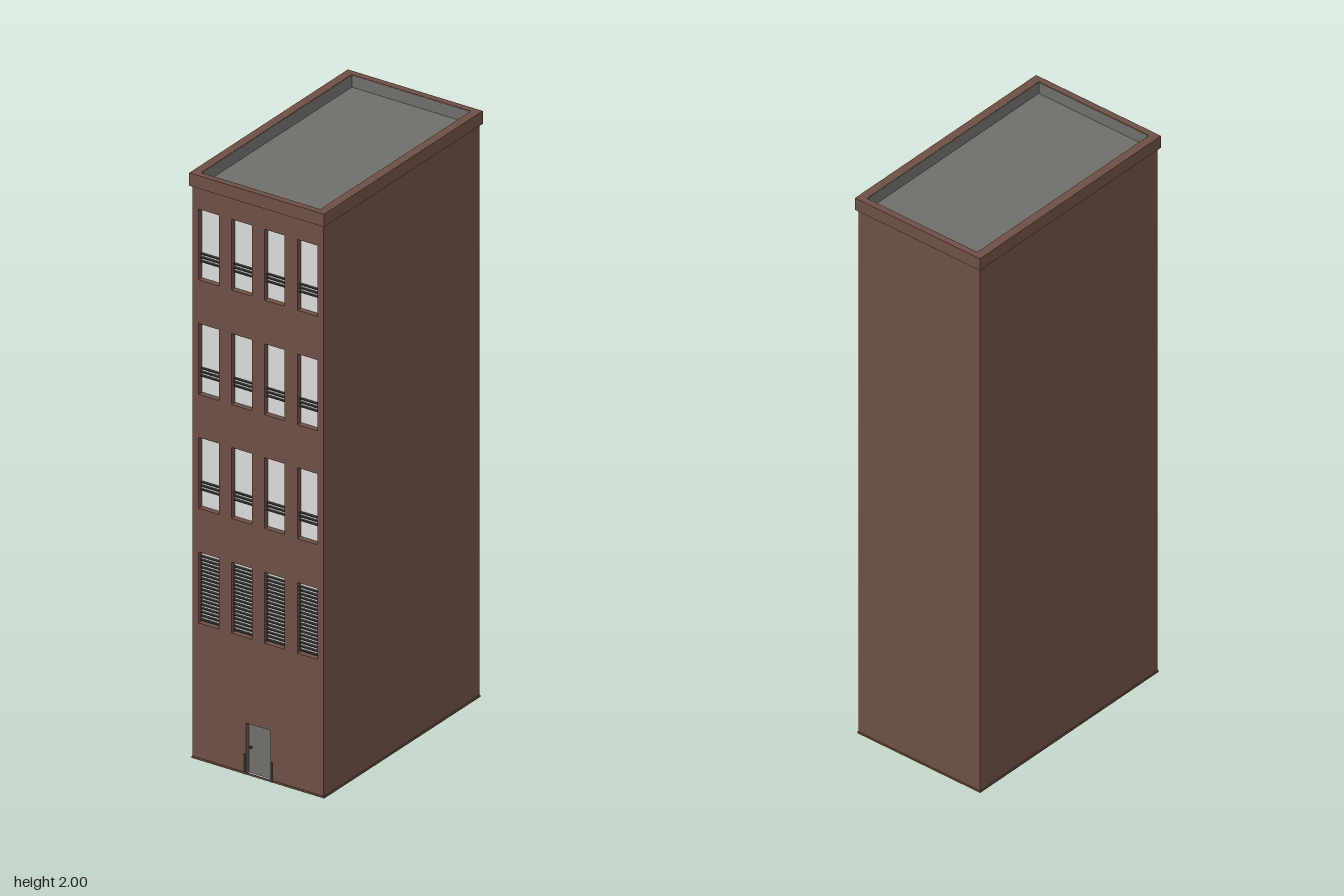
import * as THREE from 'three';

const W = 0.243, D = 0.42, H = 1.956;   // half width, half depth, wall height
const REVEAL = 0.02;

const make = (name, color, side = THREE.FrontSide) => {
  const m = new THREE.MeshStandardMaterial({ color, side });
  m.name = name;
  return m;
};

// Rectangular path, used for outlines and holes
function rect(PathType, x0, y0, x1, y1) {
  const p = new PathType();
  p.moveTo(x0, y0);
  p.lineTo(x1, y0);
  p.lineTo(x1, y1);
  p.lineTo(x0, y1);
  p.closePath();
  return p;
}

// Horizontal rectangular ring: outer half sizes, inner half sizes, height
function ring(ox, oz, ix, iz, h) {
  const s = rect(THREE.Shape, -ox, -oz, ox, oz);
  s.holes.push(rect(THREE.Path, -ix, -iz, ix, iz));
  const g = new THREE.ExtrudeGeometry(s, { depth: h, bevelEnabled: false });
  return g.rotateX(-Math.PI / 2);
}

export function createModel() {
  const group = new THREE.Group();
  group.name = 'building';
  const brown = make('brown brick', 0x6d4f43, THREE.DoubleSide);
  const grey = make('roof grey', 0x706e6a, THREE.DoubleSide);
  const glass = make('pale glass', 0xdadada, THREE.DoubleSide);
  const dark = make('dark metal', 0x3c3a38);

  const add = (parent, name, geo, mat, x = 0, y = 0, z = 0) => {
    const mesh = new THREE.Mesh(geo, mat);
    mesh.name = name;
    mesh.position.set(x, y, z);
    parent.add(mesh);
    return mesh;
  };

  // Window layout
  const columns = [-0.183, -0.061, 0.061, 0.183];
  const rows = [0.467, 0.859, 1.248, 1.639];
  const winW = 0.075, winH = 0.242;
  const doorW = 0.09, doorH = 0.175;

  // Front wall with a door notch and window openings
  const front = new THREE.Shape();
  [[-W, 0], [-doorW / 2, 0], [-doorW / 2, doorH], [doorW / 2, doorH],
    [doorW / 2, 0], [W, 0], [W, H], [-W, H]]
    .forEach(([x, y], i) => (i ? front.lineTo(x, y) : front.moveTo(x, y)));
  front.closePath();
  for (const y of rows) {
    for (const x of columns) {
      front.holes.push(rect(THREE.Path, x - winW / 2, y, x + winW / 2, y + winH));
    }
  }
  add(group, 'frontWall',
    new THREE.ExtrudeGeometry(front, { depth: REVEAL, bevelEnabled: false }),
    brown, 0, 0, D - REVEAL);

  // Back and side walls, open underneath
  add(group, 'backWall', new THREE.PlaneGeometry(2 * W, H), brown, 0, H / 2, -D)
    .rotation.y = Math.PI;
  for (const s of [-1, 1]) {
    add(group, s > 0 ? 'leftWall' : 'rightWall', new THREE.PlaneGeometry(2 * D, H),
      brown, s * W, H / 2, 0).rotation.y = s * Math.PI / 2;
  }

  // Thin base strip
  add(group, 'baseStrip', ring(W + 0.003, D + 0.002, W - 0.001, D - 0.001, 0.006), brown);

  // Parapet, its lining and the sunken roof
  add(group, 'parapet', ring(0.25, 0.428, 0.221, 0.406, 2 - H), brown, 0, H, 0);
  add(group, 'parapetLining', ring(0.221, 0.406, 0.2195, 0.4045, 2 - H - 0.001), grey, 0, H, 0);
  add(group, 'roof', new THREE.PlaneGeometry(0.442, 0.812), grey, 0, H + 0.002, 0)
    .rotation.x = -Math.PI / 2;

  // Windows: louvres on the lowest row, a three-bar rail on the others
  const paneGeo = new THREE.PlaneGeometry(winW, winH);
  const barGeo = new THREE.BoxGeometry(winW, 0.004, 0.008);
  rows.forEach((y, r) => {
    for (const x of columns) {
      const win = new THREE.Group();
      win.name = r === 0 ? 'louvredWindow' : 'window';
      win.position.set(x, y, D - REVEAL + 0.001);
      add(win, 'pane', paneGeo, glass, 0, winH / 2, 0);
      const first = r === 0 ? 0.008 : 0.06;
      const count = r === 0 ? 18 : 3;
      for (let i = 0; i < count; i++) {
        add(win, 'bar', barGeo, dark, 0, first + i * 0.0127, 0.006);
      }
      group.add(win);
    }
  });

  // Door with handle and low side guards
  const door = new THREE.Group();
  door.name = 'door';
  add(door, 'doorPanel', new THREE.PlaneGeometry(doorW, doorH), grey, 0, doorH / 2, D - 0.015);
  add(door, 'doorHandle', new THREE.BoxGeometry(0.008, 0.005, 0.008), dark, -0.035, 0.09, D - 0.011);
  for (const s of [-1, 1]) {
    add(door, 'doorGuard', new THREE.BoxGeometry(0.007, 0.068, 0.004), dark, s * 0.0505, 0.034, D + 0.001);
  }
  group.add(door);

  return group;
}
